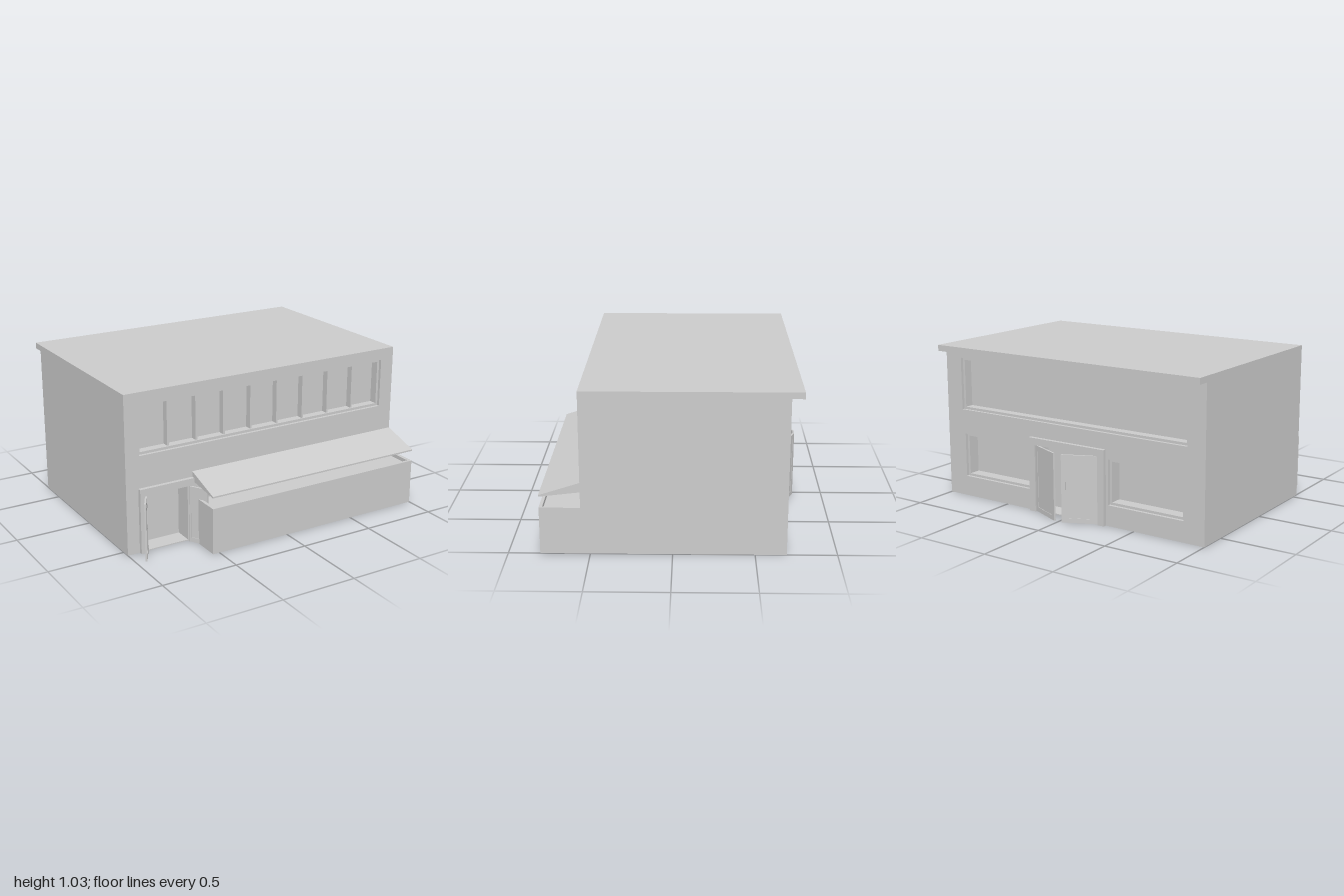
import * as THREE from 'three';

const material = new THREE.MeshStandardMaterial({ color: 0xcccccc, flatShading: true });
const WALL = 0.12; // thickness of the pierced front and back walls

function add(parent, name, geometry) {
  const mesh = new THREE.Mesh(geometry, material);
  mesh.name = name;
  parent.add(mesh);
  return mesh;
}

// Box given by its limits on each axis
function box(parent, name, [x0, x1], [y0, y1], [z0, z1]) {
  const g = new THREE.BoxGeometry(x1 - x0, y1 - y0, z1 - z0);
  g.translate((x0 + x1) / 2, (y0 + y1) / 2, (z0 + z1) / 2);
  return add(parent, name, g);
}

function rectangle(Type, [x0, x1, y0, y1]) {
  return new Type([[x0, y0], [x1, y0], [x1, y1], [x0, y1]].map(p => new THREE.Vector2(...p)));
}

// Slab from z0 to z1 with rectangular holes
function pierced(parent, name, outer, holes, z0, z1) {
  const shape = rectangle(THREE.Shape, outer);
  shape.holes = holes.map(h => rectangle(THREE.Path, h));
  const g = new THREE.ExtrudeGeometry(shape, { depth: z1 - z0, bevelEnabled: false });
  return add(parent, name, g.translate(0, 0, z0));
}

// Recessed window, the wall face lying at z = 0
function windowUnit(parent, name, rect, glassDepth, panes = 1) {
  const [x0, x1, y0, y1] = rect, f = 0.016;
  const group = new THREE.Group();
  group.name = name;
  parent.add(group);
  pierced(group, 'windowFrame', rect, [[x0 + f, x1 - f, y0 + f, y1 - f]], -glassDepth, -0.02);
  box(group, 'windowPane', [x0, x1], [y0, y1], [-WALL, -glassDepth]);
  for (let i = 1; i < panes; i++) {
    const x = x0 + f + (x1 - x0 - 2 * f) * i / panes;
    box(group, 'mullion', [x - 0.006, x + 0.006], [y0 + f, y1 - f], [-glassDepth, -0.03]);
  }
}

// Projecting surround with two leaves swung outwards
function doorway(parent, name, cx, half, height, leafWidth, angle) {
  const group = new THREE.Group();
  group.name = name;
  group.position.x = cx;
  parent.add(group);
  const o = half + 0.048, t = 0.025;
  box(group, 'lintel', [-o, o], [height, height + 0.046], [0, t]);
  for (const s of [-1, 1]) {
    const jamb = [s * half, s * o].sort((a, b) => a - b);
    box(group, 'doorJamb', jamb, [0, height], [0, t]);

    const leaf = new THREE.Group();
    leaf.name = s < 0 ? 'rightDoorLeaf' : 'leftDoorLeaf';
    leaf.position.set(s * half, 0, 0.008);
    leaf.rotation.y = s * angle;
    group.add(leaf);
    const a = s < 0 ? 0 : -leafWidth, b = a + leafWidth, m = 0.026;
    const inner = [a + m, b - m, 0.032, height - 0.036];
    pierced(leaf, 'leafFrame', [a, b, 0.002, height - 0.002], [inner], -0.006, 0.006);
    box(leaf, 'leafPanel', [inner[0], inner[1]], [inner[2], inner[3]], [-0.003, 0.003]);
  }
}

export function createModel() {
  const model = new THREE.Group();
  model.name = 'shopBuilding';

  // Solid core and roof slab with its rear overhang
  box(model, 'buildingCore', [-1, 1], [0, 0.99], [-0.692 + WALL, 0.555 - WALL]);
  box(model, 'roofSlab', [-1, 1], [0.99, 1.03], [-0.77, 0.555]);

  // Front wall: ribbon window and entrance
  const front = new THREE.Group();
  front.name = 'frontSide';
  front.position.z = 0.555;
  const ribbon = [-0.908, 0.903, 0.632, 0.954];
  pierced(front, 'frontWall', [-1, 1, 0, 0.99],
    [ribbon, [-0.87, -0.58, 0.006, 0.378]], -WALL, 0);
  windowUnit(front, 'ribbonWindow', ribbon, 0.075, 9);
  doorway(front, 'frontEntrance', -0.725, 0.145, 0.378, 0.14, THREE.MathUtils.degToRad(120));
  model.add(front);

  // Back wall: wide window above, two lower windows and double doors
  const back = new THREE.Group();
  back.name = 'backSide';
  back.position.z = -0.692;
  back.rotation.y = Math.PI;
  const wide = [-0.875, 0.875, 0.595, 0.945];
  const lower = [[-0.855, -0.31, 0.135, 0.43], [0.31, 0.855, 0.135, 0.43]];
  pierced(back, 'backWall', [-1, 1, 0, 0.99],
    [wide, ...lower, [-0.245, 0.245, 0.006, 0.445]], -WALL, 0);
  windowUnit(back, 'wideBackWindow', wide, 0.08);
  for (const rect of lower) windowUnit(back, 'lowerBackWindow', rect, 0.1);
  doorway(back, 'backEntrance', 0, 0.245, 0.445, 0.238, THREE.MathUtils.degToRad(24));
  model.add(back);

  // Serving counter: solid base with a shallow tray top
  const cx = [-0.545, 1];
  box(model, 'counterBase', cx, [0, 0.275], [0.555, 0.805]);
  const rim = pierced(model, 'counterRim', [...cx, -0.805, -0.555],
    [[cx[0] + 0.02, cx[1] - 0.02, -0.785, -0.575]], 0, 0.025);
  rim.geometry.rotateX(-Math.PI / 2).translate(0, 0.275, 0);

  // Sloping awning above the counter, profile as (-z, y)
  const profile = new THREE.Shape([[-0.805, 0.37], [-0.555, 0.4], [-0.555, 0.46], [-0.805, 0.38]]
    .map(p => new THREE.Vector2(...p)));
  const awning = new THREE.ExtrudeGeometry(profile, { depth: cx[1] - cx[0], bevelEnabled: false });
  add(model, 'awning', awning.rotateY(Math.PI / 2).translate(cx[0], 0, 0));

  return model;
}
